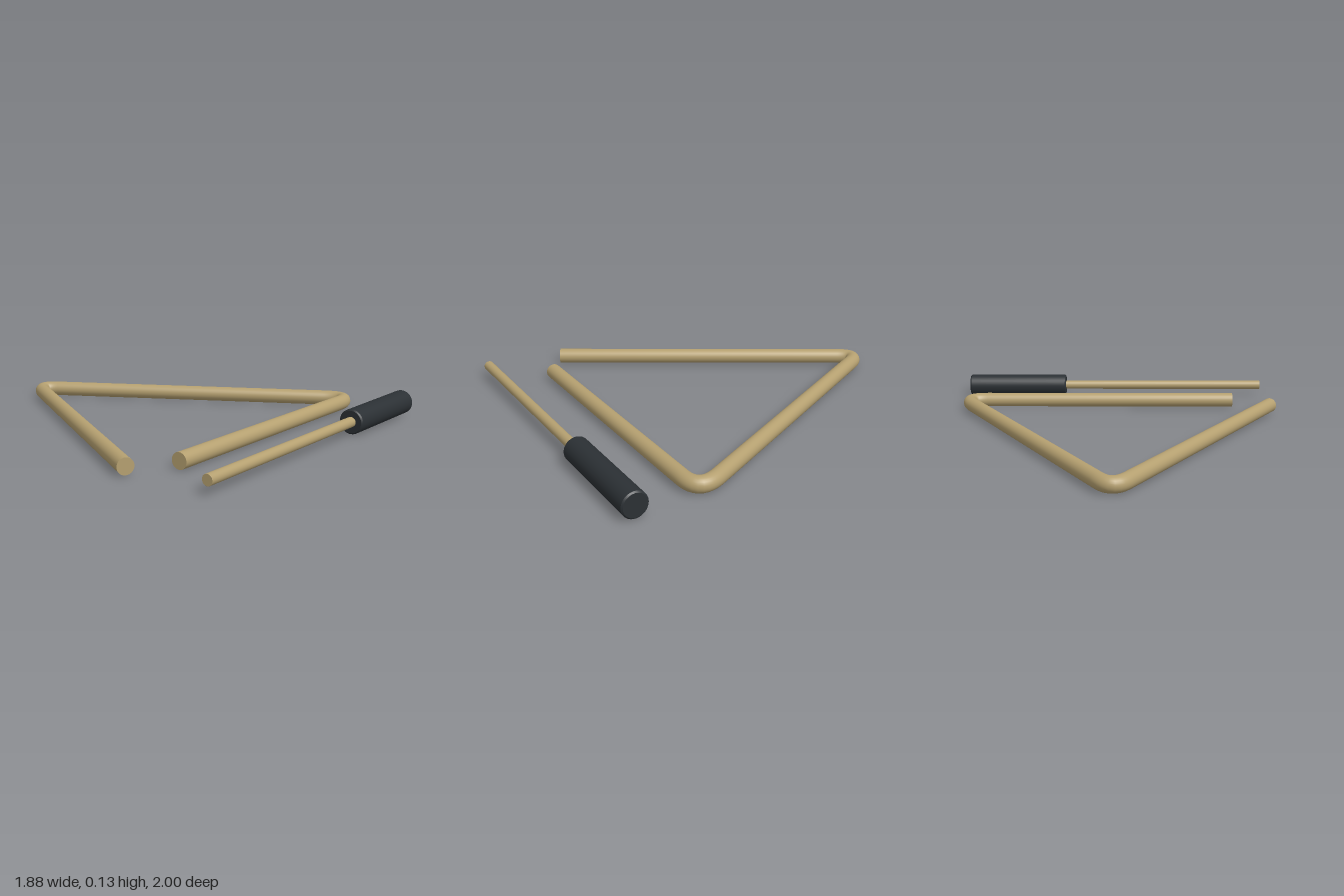
import * as THREE from 'three';

const brass = new THREE.MeshStandardMaterial({ color: 0xb5a070 });
const grip = new THREE.MeshStandardMaterial({ color: 0x2b3034 });

function add(parent, name, geometry, material) {
  const mesh = new THREE.Mesh(geometry, material);
  mesh.name = name;
  parent.add(mesh);
  return mesh;
}

// Solid cylinder along x from x0 to x1, with slightly bevelled rims
function rodAlongX(x0, x1, radius, bevel) {
  const h = x1 - x0;
  // Doubled points keep the rims crisp
  const rims = [[radius - bevel, 0], [radius, bevel], [radius, h - bevel], [radius - bevel, h]];
  const pts = [[0, 0], ...rims.flatMap((p) => [p, p.slice()]), [0, h]];
  const parts = pts.map(([r, y]) => new THREE.Vector2(r, y));
  return new THREE.LatheGeometry(parts, 40).rotateZ(-Math.PI / 2).translate(x0, 0, 0);
}

export function createModel() {
  const model = new THREE.Group();
  model.name = 'triangleInstrument';

  // Bent bar: three straight legs joined by two rounded corners
  const R = 0.041;
  const v = (x, z) => new THREE.Vector3(x, R, z);
  const start = v(-0.905, 0.497);
  const end = v(-0.695, 0.628);
  const bends = [
    [v(-0.05, -0.9), v(0.019, -1.013), v(0.082, -0.9)],
    [v(0.857, 0.484), v(0.938, 0.628), v(0.785, 0.628)],
  ];
  const path = new THREE.CurvePath();
  let from = start;
  for (const [a, corner, b] of bends) {
    path.add(new THREE.LineCurve3(from, a));
    path.add(new THREE.QuadraticBezierCurve3(a, corner, b));
    from = b;
  }
  path.add(new THREE.LineCurve3(from, end));

  const bar = new THREE.Group();
  bar.name = 'triangle';
  model.add(bar);
  add(bar, 'triangleBar', new THREE.TubeGeometry(path, 320, R, 28, false), brass);

  // Flat caps on the two open ends
  for (const [name, point, inner] of [['startCap', start, bends[0][0]], ['endCap', end, bends[1][2]]]) {
    const cap = add(bar, name, new THREE.CircleGeometry(R, 28), brass);
    cap.position.copy(point);
    cap.lookAt(point.clone().multiplyScalar(2).sub(inner));
  }

  // Beater: thin rod with a thick dark handle
  const beater = new THREE.Group();
  beater.name = 'beater';
  beater.position.set(0, 0.066, 0.934);
  add(beater, 'beaterRod', rodAlongX(-0.905, 0.36, 0.027, 0.001), brass);
  add(beater, 'beaterHandle', rodAlongX(0.33, 0.937, 0.065, 0.007), grip);
  model.add(beater);

  return model;
}
